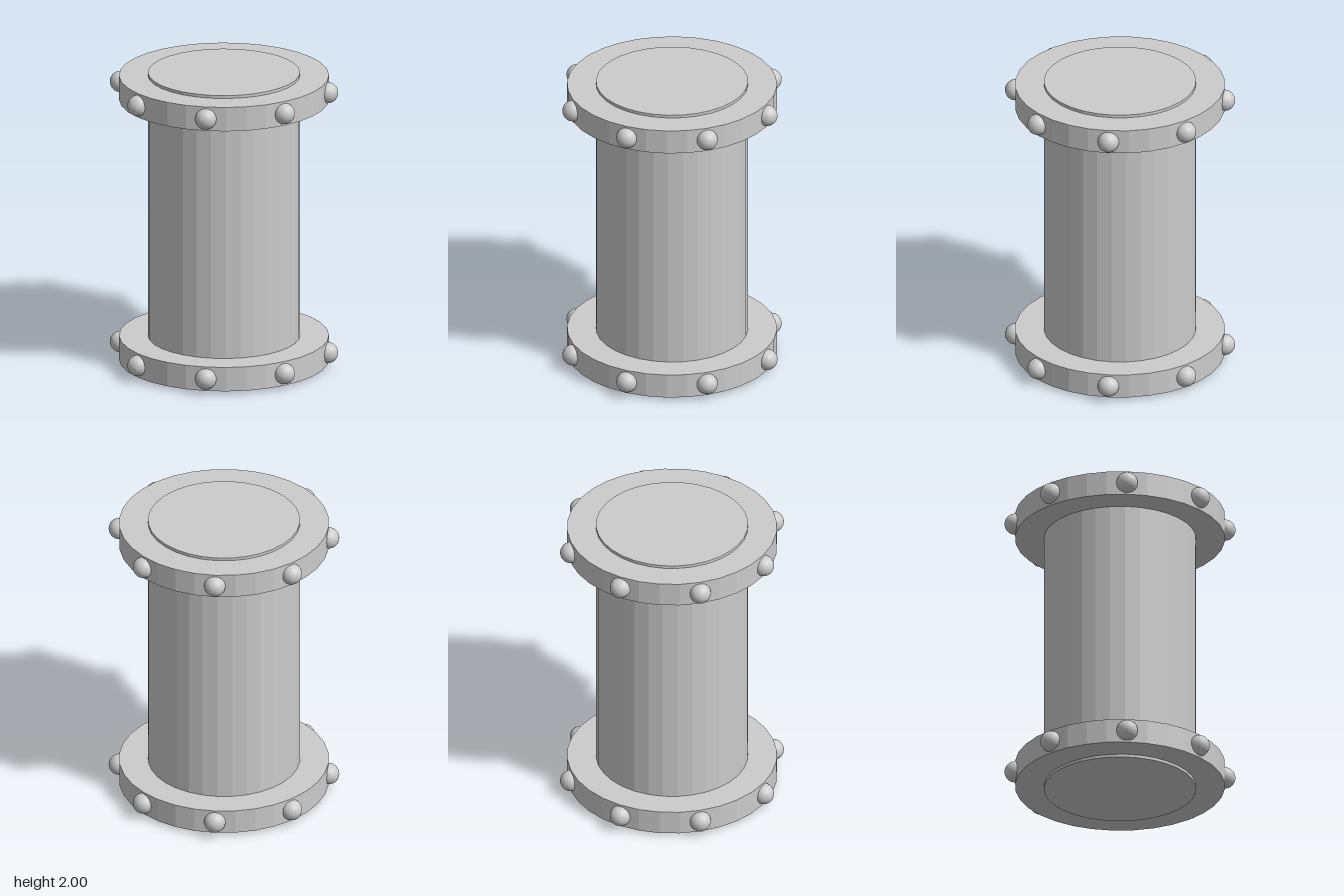
import * as THREE from 'three';

const SIDES = 32;
const FLANGE_RADIUS = 0.69;
const BOLT_COUNT = 8;

export function createModel() {
  const model = new THREE.Group();
  model.name = 'flangedPipe';
  const material = new THREE.MeshStandardMaterial({ color: 0xcccccc, flatShading: true });

  const add = (parent, name, geometry, x, y, z) => {
    const mesh = new THREE.Mesh(geometry, material);
    mesh.name = name;
    mesh.position.set(x, y, z);
    parent.add(mesh);
    return mesh;
  };

  // Pipe body, closed at both ends
  add(model, 'pipe', new THREE.CylinderGeometry(0.5, 0.5, 2, SIDES), 0, 1, 0);

  // A flange near each end, with round bolt heads about its rim
  const flangeGeometry = new THREE.CylinderGeometry(FLANGE_RADIUS, FLANGE_RADIUS, 0.165, SIDES);
  const boltGeometry = new THREE.SphereGeometry(0.07, 32, 16);
  for (const [name, y] of [['bottomFlange', 0.1025], ['topFlange', 1.8975]]) {
    const group = new THREE.Group();
    group.name = name;
    group.position.y = y;
    add(group, 'flangeRing', flangeGeometry, 0, 0, 0);
    for (let i = 0; i < BOLT_COUNT; i++) {
      const a = (i / BOLT_COUNT) * Math.PI * 2;
      add(group, 'bolt', boltGeometry, Math.sin(a) * FLANGE_RADIUS, 0, Math.cos(a) * FLANGE_RADIUS);
    }
    model.add(group);
  }

  return model;
}
